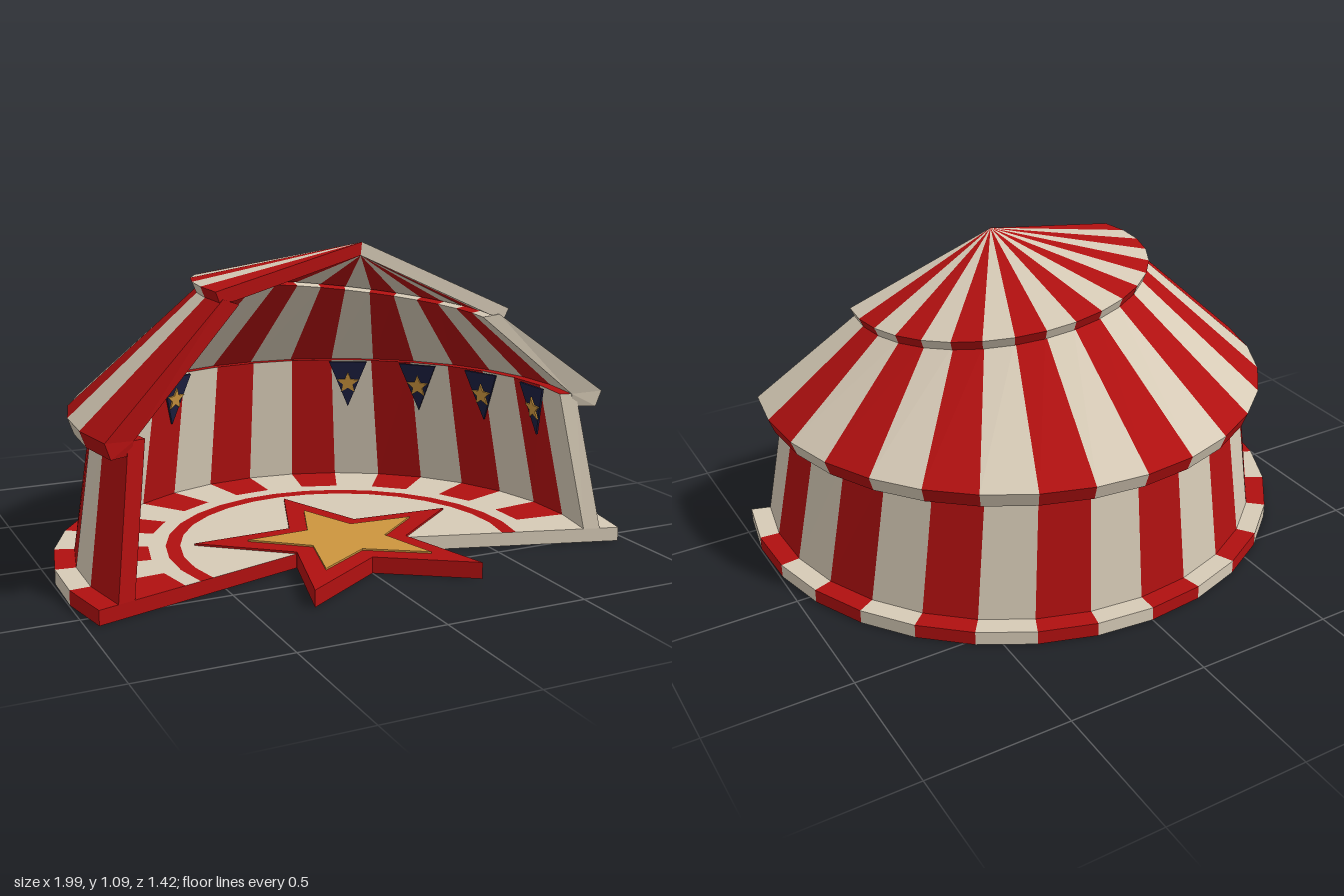
import * as THREE from 'three';

const SEGMENTS = 18;
const mat = (name, color) => {
  const m = new THREE.MeshStandardMaterial({ color });
  m.name = name;
  return m;
};

// A ring is a tilted arc: radius r, height y, centre cx/cz, half sweep h (degrees), slopes sx/sz
const ring = (r, y, cz = 0.29, h = 106.36, cx = 0, sx = 0, sz = 0) => ({ r, y, cz, h, cx, sx, sz });

function ringPoint(g, i) {
  const t = THREE.MathUtils.degToRad(g.h) * (2 * i / SEGMENTS - 1);
  const dx = g.r * Math.sin(t), dz = -g.r * Math.cos(t);
  return new THREE.Vector3(g.cx + dx, g.y + g.sx * dx + g.sz * dz, g.cz + dz);
}

// Five-pointed star plate
function starGeometry(outer, inner, depth) {
  const pts = [];
  for (let i = 0; i < 10; i++) {
    const a = Math.PI / 2 + i * Math.PI / 5, r = i % 2 ? inner : outer;
    pts.push(new THREE.Vector2(r * Math.cos(a), r * Math.sin(a)));
  }
  return new THREE.ExtrudeGeometry(new THREE.Shape(pts), { depth, bevelEnabled: false });
}

export function createModel() {
  const model = new THREE.Group();
  model.name = 'openStripedTent';
  const red = mat('red canvas', 0xb01010);
  const cream = mat('cream canvas', 0xd6cab6);
  const navy = mat('navy cloth', 0x1c1f40);
  const gold = mat('gold', 0xcc953e);

  const add = (parent, name, geometry, material) => {
    const mesh = new THREE.Mesh(geometry, material);
    mesh.name = name;
    parent.add(mesh);
    return mesh;
  };

  // Sweep a closed profile of rings; plain[k] overrides the stripes on profile edge k
  function stripedShell(name, rings, plain = {}) {
    const group = new THREE.Group();
    group.name = name;
    const data = new Map([[red, []], [cream, []]]);
    const tri = (m, a, b, c) => {
      const area = b.clone().sub(a).cross(c.clone().sub(a)).length();
      if (area > 1e-7) for (const p of [a, b, c]) data.get(m).push(p.x, p.y, p.z);
    };
    const n = rings.length;
    for (let i = 0; i < SEGMENTS; i++) {
      for (let k = 0; k < n; k++) {
        const m = plain[k] || (i % 2 ? cream : red);
        const g0 = rings[k], g1 = rings[(k + 1) % n];
        const a = ringPoint(g0, i), b = ringPoint(g0, i + 1);
        const c = ringPoint(g1, i + 1), d = ringPoint(g1, i);
        tri(m, a, b, c);
        tri(m, a, c, d);
      }
    }
    // Cut faces at both ends
    const first = rings.map(g => ringPoint(g, 0)), last = rings.map(g => ringPoint(g, SEGMENTS));
    for (let k = 1; k < n - 1; k++) {
      tri(red, first[0], first[k], first[k + 1]);
      tri(cream, last[0], last[k + 1], last[k]);
    }
    for (const [m, list] of data) {
      const g = new THREE.BufferGeometry();
      g.setAttribute('position', new THREE.Float32BufferAttribute(list, 3));
      g.computeVertexNormals();
      add(group, name + (m === red ? 'Red' : 'Cream'), g, m);
    }
    model.add(group);
  }

  // Floor platform with striped border and a red circle
  stripedShell('floor', [
    ring(0, 0.05), ring(0.57, 0.05), ring(0.62, 0.05), ring(0.68, 0.05),
    ring(1, 0.05), ring(1, 0), ring(0, 0),
  ], { 0: cream, 1: red, 2: cream, 5: red });

  // Leaning wall with a red ledge on top
  stripedShell('wall', [
    ring(0.85, 0.535, 0.26, 104.4), ring(0.93, 0.05),
    ring(0.87, 0.05), ring(0.79, 0.535, 0.26, 104.4),
  ], { 3: red });

  // Lower roof: level eaves, tilted top
  const top = [102, 0.02, -0.11, -0.03];
  stripedShell('lowerRoof', [
    ring(0.83, 0.535, 0.27, 104), ring(0.46, 0.875, 0.31, ...top),
    ring(0.52, 0.89, 0.31, ...top), ring(0.935, 0.545, 0.28, 104),
    ring(0.915, 0.49, 0.28, 104), ring(0.84, 0.49, 0.265, 104),
  ]);

  // Upper roof: crooked cone cap
  const rim = [101.5, 0.025, -0.11, -0.03];
  stripedShell('upperRoof', [
    ring(0.48, 0.885, 0.31, ...rim), ring(0, 1.045, 0.31, 101.5, 0.045),
    ring(0, 1.09, 0.31, 101.5, 0.05), ring(0.55, 0.912, 0.31, ...rim),
    ring(0.535, 0.877, 0.31, ...rim),
  ]);

  // Stage star on the floor
  const stage = new THREE.Group();
  stage.name = 'stageStar';
  stage.position.z = 0.285;
  stage.rotation.x = -Math.PI / 2;
  add(stage, 'starBase', starGeometry(0.52, 0.22, 0.057), red);
  add(stage, 'starInlay', starGeometry(0.335, 0.145, 0.006), gold).position.z = 0.057;
  model.add(stage);

  // Pennants along the inner wall, four per side
  const pennantShape = new THREE.Shape([
    new THREE.Vector2(-0.075, 0), new THREE.Vector2(0, -0.19), new THREE.Vector2(0.075, 0),
  ]);
  const pennantGeometry = new THREE.ExtrudeGeometry(pennantShape, { depth: 0.008, bevelEnabled: false });
  const badgeGeometry = starGeometry(0.045, 0.02, 0.006);
  for (const side of [-1, 1]) {
    for (const degrees of [28, 49, 70, 91]) {
      const t = side * THREE.MathUtils.degToRad(degrees);
      const pennant = new THREE.Group();
      pennant.name = 'pennant';
      pennant.position.set(0.772 * Math.sin(t), 0.532, 0.262 - 0.772 * Math.cos(t));
      pennant.rotation.set(0.165, -t, 0, 'YXZ');
      add(pennant, 'pennantCloth', pennantGeometry, navy);
      add(pennant, 'pennantStar', badgeGeometry, gold).position.set(0, -0.088, 0.008);
      model.add(pennant);
    }
  }
  return model;
}
